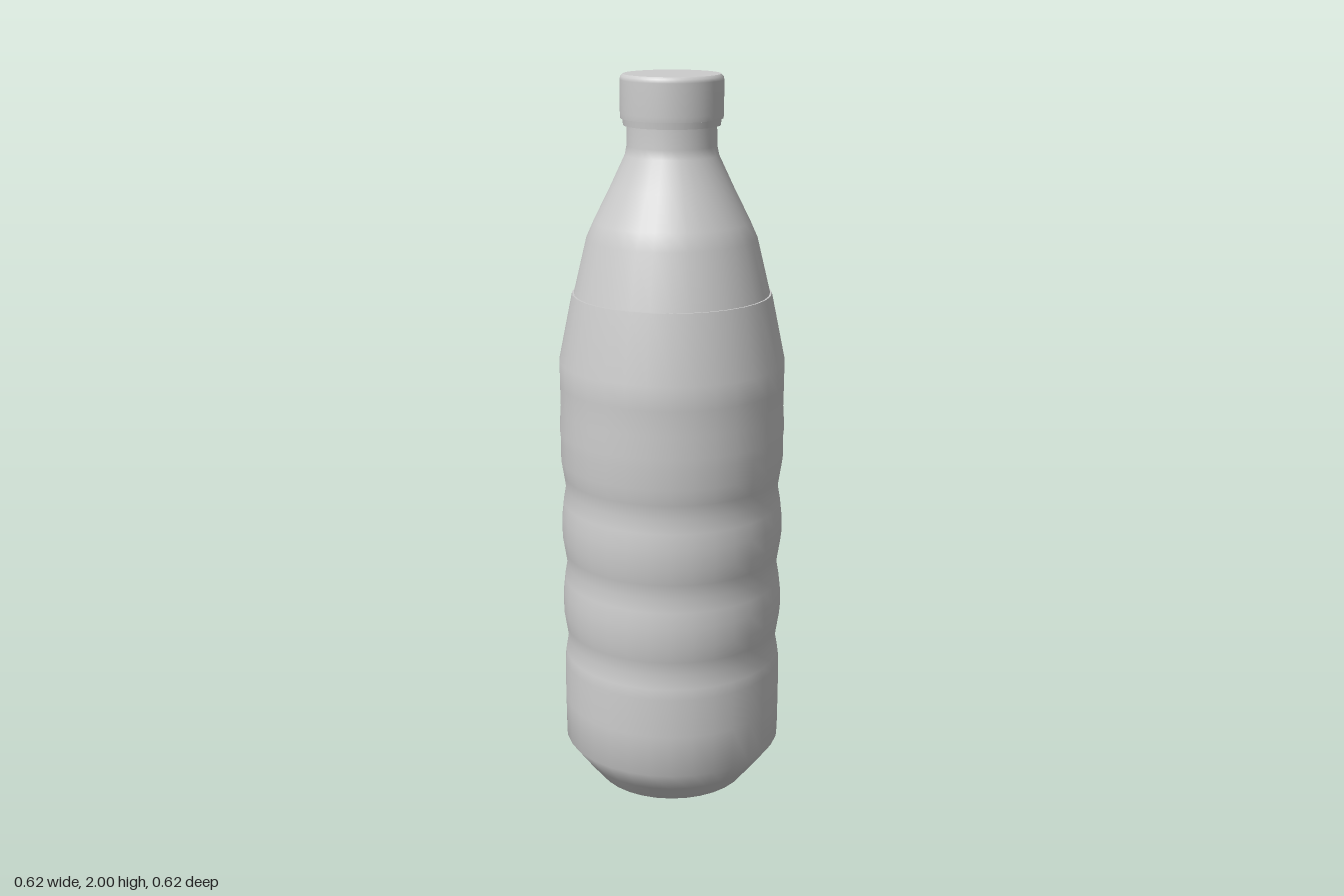
import * as THREE from 'three';

const SIDES = 32;

// Surface of revolution from [radius, height] pairs, listed bottom to top
function lathe(name, points, material, sides = SIDES) {
  const profile = points.map(([r, y]) => new THREE.Vector2(r, y));
  const mesh = new THREE.Mesh(new THREE.LatheGeometry(profile, sides), material);
  mesh.name = name;
  return mesh;
}

// Flat disc facing up or down
function disc(name, radius, y, up, material, inner = 0) {
  const geometry = inner
    ? new THREE.RingGeometry(inner, radius, SIDES)
    : new THREE.CircleGeometry(radius, SIDES);
  geometry.rotateX(up ? -Math.PI / 2 : Math.PI / 2);
  const mesh = new THREE.Mesh(geometry, material);
  mesh.position.y = y;
  mesh.name = name;
  return mesh;
}

export function createModel() {
  const bottle = new THREE.Group();
  bottle.name = 'bottle';
  const grey = new THREE.MeshStandardMaterial({ color: 0xcccccc, side: THREE.DoubleSide });
  grey.name = 'light grey';

  // Lower body: chamfered foot, then three soft grip grooves
  const body = [[0.215, 0], [0.26, 0.055], [0.308, 0.12], [0.309, 0.24], [0.308, 0.35]];
  for (const y of [0.42, 0.645, 0.87]) {
    body.push([0.304, y - 0.04], [0.297, y], [0.303, y + 0.04], [0.31, y + 0.085], [0.309, y + 0.14]);
  }
  body.push([0.312, 1.04], [0.308, 1.1], [0.309, 1.17], [0.309, 1.235], [0.271, 1.42]);
  bottle.add(lathe('lowerBody', body, grey));
  bottle.add(disc('base', 0.215, 0, false, grey));

  // Narrow ledge where the upper shell begins
  bottle.add(disc('ledge', 0.271, 1.42, true, grey, 0.262));

  // Shoulder and neck
  bottle.add(lathe('shoulder', [
    [0.266, 1.42], [0.23, 1.57], [0.21, 1.615], [0.165, 1.705],
    [0.125, 1.79], [0.12, 1.815], [0.119, 1.88],
  ], grey));

  // Tamper ring below the cap
  bottle.add(lathe('neckRingSide', [[0.129, 1.868], [0.131, 1.888]], grey));
  bottle.add(disc('neckRingUnderside', 0.129, 1.868, false, grey, 0.115));

  // Cap with a small rounded top edge
  bottle.add(disc('capUnderside', 0.136, 1.886, false, grey, 0.115));
  bottle.add(lathe('capSide', [
    [0.136, 1.886], [0.137, 1.9], [0.137, 1.985], [0.135, 1.994], [0.128, 2],
  ], grey, 48));
  bottle.add(disc('capTop', 0.1285, 2, true, grey));

  return bottle;
}
